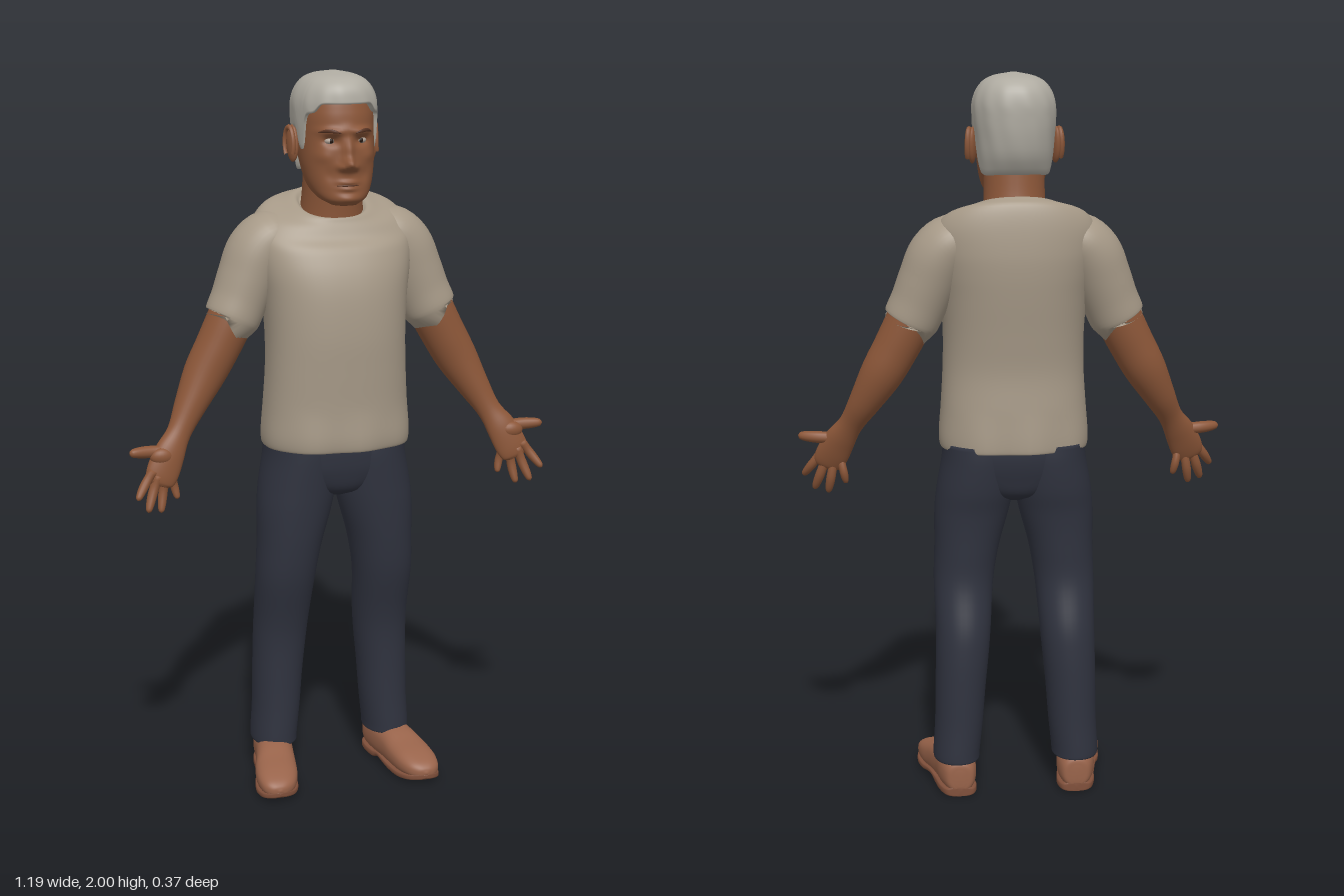
import * as THREE from 'three';

const V = (x, y, z) => new THREE.Vector3(x, y, z);
const mat = (name, color) => Object.assign(new THREE.MeshStandardMaterial({ color }), { name });

// Smooth lookup in a table whose first column is the key
function at(rows, k) {
  const n = rows.length - 1;
  let i = 0;
  while (i < n - 1 && k > rows[i + 1][0]) i++;
  const a = rows[i], b = rows[i + 1], h = b[0] - a[0];
  const t = Math.min(1, Math.max(0, (k - a[0]) / h));
  const slope = (j, c) => {
    const p = rows[Math.max(0, j - 1)], q = rows[Math.min(n, j + 1)];
    return (q[c] - p[c]) / (q[0] - p[0]);
  };
  return a.slice(1).map((v, m) => {
    const c = m + 1, t2 = t * t, t3 = t2 * t;
    return v * (2 * t3 - 3 * t2 + 1) + b[c] * (3 * t2 - 2 * t3)
      + h * (slope(i, c) * (t3 - 2 * t2 + t) + slope(i + 1, c) * (t3 - t2));
  });
}

// Closed skin from rings of fn(angle, t), capped at both ends
function skinOf(fn, nu, nv) {
  const pos = [], idx = [];
  const ends = [V(0, 0, 0), V(0, 0, 0)];
  for (let i = 0; i <= nv; i++) for (let j = 0; j < nu; j++) {
    const p = fn((j / nu) * Math.PI * 2, i / nv);
    pos.push(p.x, p.y, p.z);
    if (i === 0) ends[0].addScaledVector(p, 1 / nu);
    if (i === nv) ends[1].addScaledVector(p, 1 / nu);
  }
  const c = nu * (nv + 1), top = nu * nv;
  ends.forEach(e => pos.push(e.x, e.y, e.z));
  for (let j = 0; j < nu; j++) {
    const k = (j + 1) % nu;
    for (let i = 0; i < nv; i++) {
      const a = i * nu + j, b = i * nu + k;
      idx.push(a, b, a + nu, b, b + nu, a + nu);
    }
    idx.push(k, j, c, top + j, top + k, c + 1);
  }
  const g = new THREE.BufferGeometry();
  g.setAttribute('position', new THREE.Float32BufferAttribute(pos, 3));
  g.setIndex(idx);
  g.computeVertexNormals();
  return g;
}

const sup = (v, p) => Math.sign(v) * Math.pow(Math.abs(v), 2 / p);

// Loft through rows [x, y, z, halfWidth, halfDepth]; dir fixes the ring normal
function loft(rows, { dir, ref = V(0, 0, -1), p = 2, n = 32, step = 5, warp } = {}) {
  const keyed = rows.map((r, i) => [i, ...r]), last = rows.length - 1;
  return skinOf((a, t) => {
    const k = t * last, r = at(keyed, k);
    const s = at(keyed, Math.max(0, k - 0.1)), e = at(keyed, Math.min(last, k + 0.1));
    const T = dir ? dir.clone() : V(e[0] - s[0], e[1] - s[1], e[2] - s[2]).normalize();
    const U = ref.clone().cross(T).normalize(), W = T.clone().cross(U);
    const v = V(r[0], r[1], r[2])
      .addScaledVector(U, Math.max(r[3], 0.0005) * sup(Math.cos(a), p))
      .addScaledVector(W, Math.max(r[4], 0.0005) * sup(Math.sin(a), p));
    return warp ? warp(v) : v;
  }, n, last * step);
}

function mirrored(g) {
  const m = g.clone().scale(-1, 1, 1), ix = m.index.array;
  for (let i = 0; i < ix.length; i += 3) [ix[i], ix[i + 1]] = [ix[i + 1], ix[i]];
  m.computeVertexNormals();
  return m;
}

// Head: key y, then z centre, half width, half depth
const HEAD = [[1.655, .07, .035, .04], [1.67, .058, .062, .06], [1.7, .028, .083, .09], [1.75, .008, .095, .108],
  [1.8, -.01, .1, .124], [1.85, -.02, .101, .131], [1.9, -.025, .1, .13], [1.95, -.025, .085, .11], [1.985, -.02, .045, .06]];
// Facial relief: x, y, spread x, spread y, push forward
const RELIEF = [[0, 1.8, .013, .032, .018], [0, 1.766, .016, .017, .03], [.019, 1.757, .01, .01, .012],
  [.04, 1.85, .03, .01, .012], [0, 1.858, .02, .012, .004], [.042, 1.824, .02, .012, -.013], [.065, 1.785, .02, .018, .006],
  [0, 1.717, .024, .006, .007], [0, 1.7, .022, .006, .007], [0, 1.673, .03, .013, .009], [.045, 1.735, .016, .02, -.005]];
function headPoint(a, y) {
  const [z, rx, rz] = at(HEAD, y);
  const v = V(rx * sup(Math.cos(a), 2.3), y, z - rz * sup(Math.sin(a), 2.3));
  if (v.z > 0) for (const [x, cy, sx, sy, d] of RELIEF)
    v.z += d * Math.exp(-(((Math.abs(v.x) - x) / sx) ** 2) - ((y - cy) / sy) ** 2);
  return v;
}

// Hair: lower edge by facing (-1 back, 1 front), and outline by height
const HAIRLINE = [[-1, 1.735], [-.4, 1.737], [-.2, 1.78], [-.12, 1.84], [.1, 1.85], [.18, 1.81], [.36, 1.805],
  [.46, 1.88], [.7, 1.9], [.82, 1.92], [1, 1.922]];
const HAIR = [[1.73, -.02, .098, .092], [1.78, -.02, .104, .122], [1.83, -.02, .108, .135], [1.88, -.022, .112, .138],
  [1.93, -.021, .109, .138], [1.97, -.02, .088, .122], [1.99, -.02, .056, .085], [2, -.02, .008, .012]];
function hairPoint(a, t) {
  const [y0] = at(HAIRLINE, -Math.sin(a));
  const y = y0 + (2 - y0) * Math.sin(Math.max(0, t - .04) / .96 * Math.PI / 2);
  const [z, rx, rz] = at(HAIR, y);
  const s = t === 0 ? .86 : 1 + .009 * Math.sin(13 * a + 25 * y) * (2 - y) / .1 * (y > 1.9 ? 1 : (y - 1.7) / .4);
  return V(rx * s * sup(Math.cos(a), 2.3), y, z - rz * s * sup(Math.sin(a), 2.3));
}

export function createModel() {
  const model = new THREE.Group();
  const skin = mat('skin', 0x8b5638), hair = mat('grey hair', 0xb0aca2), shirt = mat('shirt', 0xa69987);
  const denim = mat('dark denim', 0x30333f), leather = mat('shoe leather', 0x98634a), sole = mat('shoe sole', 0x80503b);
  const lip = mat('lips and brows', 0x5c3726), white = mat('eye white', 0xaea094), iris = mat('iris', 0x24170f);
  const add = (name, g, m) => {
    const mesh = new THREE.Mesh(g, m);
    mesh.name = name;
    model.add(mesh);
  };
  const pair = (name, g, m) => { add('left ' + name, g, m); add('right ' + name, mirrored(g), m); };
  const up = V(0, 1, 0);

  // Head, neck and hair
  add('head', skinOf((a, t) => headPoint(a, 1.655 + .33 * t), 96, 84), skin);
  add('neck', loft([[0, 1.56, -.05, .095, .09], [0, 1.62, -.043, .087, .085], [0, 1.68, -.032, .083, .08],
    [0, 1.76, -.02, .083, .08]], { dir: up }), skin);
  add('hair', skinOf(hairPoint, 112, 25), hair);

  // Face details
  const ball = (r, sx, sy, sz, x, y, z) => new THREE.SphereGeometry(r, 20, 14).scale(sx, sy, sz).translate(x, y, z);
  pair('eye', ball(.014, 1.15, .7, 1, .042, 1.825, .086), white);
  pair('iris', ball(.0065, 1, 1, .6, .041, 1.825, .0965), iris);
  const strip = (y, a0, a1, r, lift) => loft([0, .25, .5, .75, 1].map(t => {
    const p = headPoint(Math.PI * 1.5 + a0 + (a1 - a0) * t, y + lift * Math.sin(Math.PI * t));
    return [p.x, p.y, p.z, r * (.4 + Math.sin(Math.PI * t)), r * .7];
  }), { n: 10 });
  pair('eyebrow', strip(1.847, .16, .75, .0035, .006), lip);
  add('mouth', strip(1.709, -.3, .3, .002, 0), lip);
  const earShape = g => g.rotateY(-.3).rotateX(-.12).translate(.112, 1.808, -.03);
  pair('ear', earShape(ball(.05, .24, 1, .5, 0, 0, 0)), skin);
  pair('ear rim', earShape(new THREE.TorusGeometry(.041, .007, 8, 28, 4.6).rotateZ(-.8)
    .rotateY(Math.PI / 2).scale(1, 1.05, .55).translate(.01, 0, 0)), skin);

  // T-shirt body, with the neckline dropping to the front
  add('shirt body', loft([[0, .992, -.012, .195, .143], [0, .985, -.012, .203, .152], [0, 1.02, -.01, .206, .155],
    [0, 1.1, -.009, .2, .151], [0, 1.2, -.005, .194, .15], [0, 1.3, -.009, .193, .156], [0, 1.4, -.019, .2, .159],
    [0, 1.47, -.03, .212, .155], [0, 1.53, -.043, .222, .143], [0, 1.58, -.052, .222, .127], [0, 1.62, -.052, .19, .112],
    [0, 1.638, -.048, .135, .098], [0, 1.648, -.045, .1, .088], [0, 1.638, -.045, .085, .076]],
  { dir: up, p: 2.35, n: 64, warp: v => {
    v.y -= .38 * (v.z + .05) * THREE.MathUtils.smoothstep(v.y, 1.52, 1.64);
    if (v.y < 1.1) v.z += .003 * Math.sin(v.x * 45) * (1.1 - v.y) / .1;
    return v;
  } }), shirt);
  pair('sleeve', loft([[.11, 1.55, -.06, .05, .07], [.165, 1.555, -.058, .074, .09], [.205, 1.515, -.055, .085, .092],
    [.235, 1.45, -.05, .082, .086], [.26, 1.39, -.045, .078, .08], [.283, 1.34, -.04, .076, .077],
    [.285, 1.337, -.04, .064, .066]], { n: 40 }), shirt);

  // Arms, with open hands facing forward
  pair('arm', loft([[.25, 1.42, -.045, .06, .062], [.288, 1.335, -.04, .064, .064], [.325, 1.262, -.036, .062, .061],
    [.365, 1.19, -.03, .058, .056], [.41, 1.11, -.01, .044, .043], [.447, 1.045, .015, .034, .028],
    [.478, .995, .036, .043, .026], [.5, .95, .05, .046, .021], [.512, .922, .058, .04, .015], [.516, .912, .061, .025, .008]]), skin);
  const finger = (p, q, r) => loft([[0, 1.05], [.3, 1], [.55, 1.02], [.8, .88], [.95, .6], [1, .1]].map(([t, s]) =>
    [p[0] + (q[0] - p[0]) * t, p[1] + (q[1] - p[1]) * t, p[2] + (q[2] - p[2]) * t - .008 * Math.sin(Math.PI * t), r * s, r * s]),
  { n: 14, step: 3 });
  [['index finger', [.53, .955, .062], [.58, .885, .095], .0125], ['middle finger', [.516, .94, .06], [.55, .846, .085], .013],
    ['ring finger', [.496, .93, .056], [.512, .838, .07], .0125], ['little finger', [.476, .935, .05], [.462, .868, .052], .011],
    ['thumb', [.48, 1, .042], [.592, 1.006, .058], .0165]].forEach(([name, p, q, r]) => pair(name, finger(p, q, r), skin));
  pair('thumb base', ball(.03, 1.1, .8, .65, .503, .99, .05), skin);

  // Jeans
  add('jeans seat', loft([[0, .835, -.02, .03, .05], [0, .86, -.02, .11, .1], [0, .91, -.02, .185, .12],
    [0, .96, -.022, .196, .129], [0, 1.01, -.022, .194, .13]], { dir: up, p: 2.3, n: 48 }), denim);
  pair('trouser leg', loft([[.168, .1, -.067, .054, .07], [.168, .094, -.067, .063, .082], [.168, .115, -.067, .065, .084],
    [.161, .2, -.067, .067, .083], [.156, .3, -.067, .07, .084], [.15, .4, -.064, .074, .086], [.146, .48, -.053, .077, .089],
    [.142, .6, -.022, .083, .091], [.132, .7, -.015, .09, .1], [.118, .8, -.015, .103, .11], [.108, .87, -.02, .106, .12],
    [.1, .95, -.022, .1, .127], [.1, 1, -.022, .096, .127]], { dir: up, p: 2.15, n: 40 }), denim);

  // Shoes, toes turned slightly outward
  const along = { dir: V(0, 0, 1), ref: up };
  pair('shoe', loft([[.165, .05, -.148, .012, .02], [.165, .056, -.141, .038, .043], [.168, .062, -.1, .052, .054],
    [.175, .062, -.04, .054, .055], [.187, .058, .02, .056, .05], [.198, .05, .07, .06, .042], [.206, .044, .12, .058, .035],
    [.212, .038, .16, .046, .025], [.215, .034, .179, .026, .015], [.215, .033, .185, .004, .003]], { ...along, p: 2.5 }), leather);
  pair('sole', loft([[.165, .013, -.147, .012, .012], [.165, .013, -.14, .04, .013], [.168, .013, -.1, .053, .013],
    [.175, .013, -.045, .054, .013], [.182, .02, -.015, .054, .008], [.188, .018, .025, .057, .009], [.198, .013, .07, .061, .011],
    [.206, .013, .12, .06, .011], [.212, .017, .16, .048, .01], [.215, .021, .178, .028, .009], [.215, .023, .185, .005, .005]],
  { ...along, p: 4 }), sole);
  return model;
}
